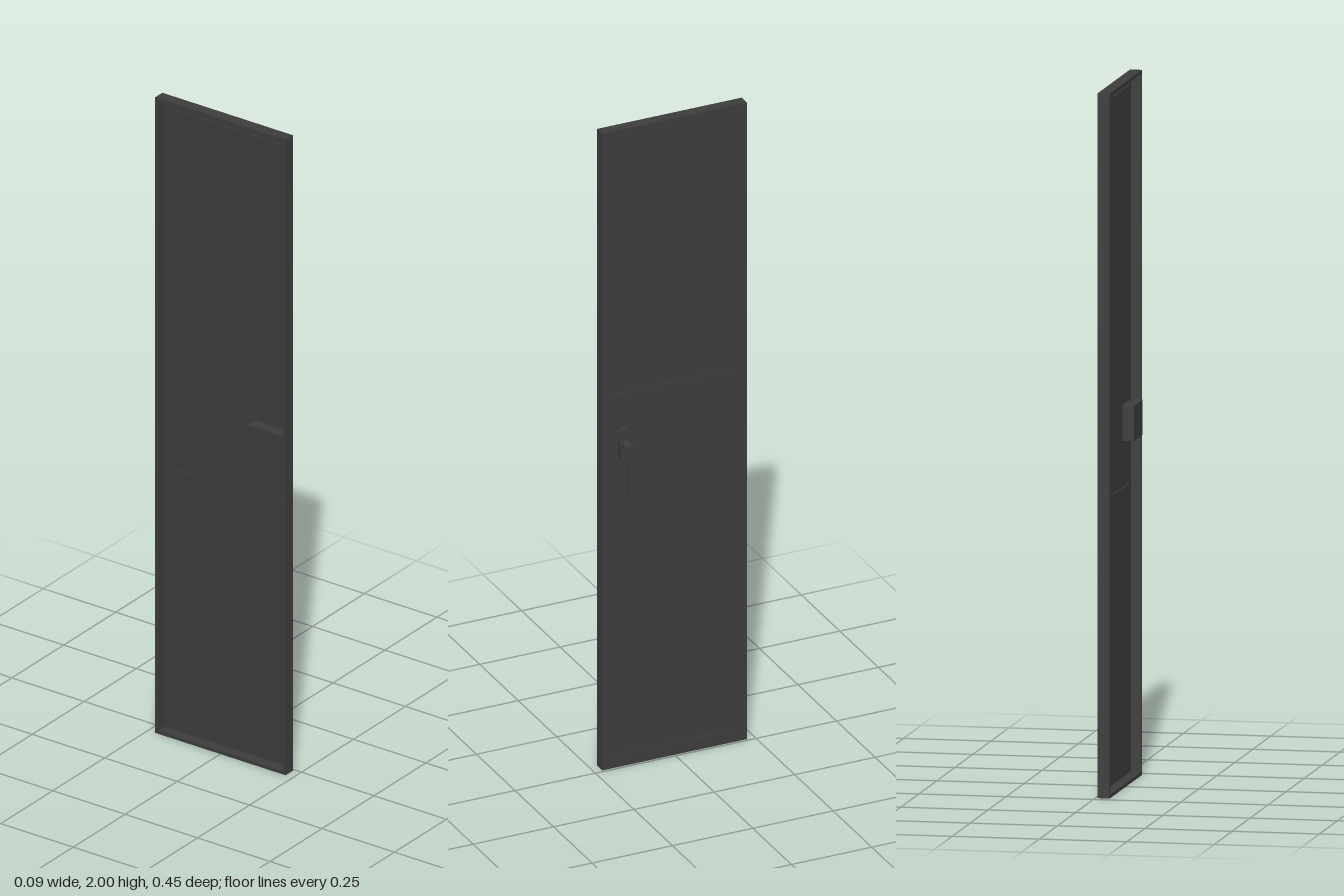
import * as THREE from 'three';
import { toCreasedNormals } from 'three/addons/utils/BufferGeometryUtils.js';

const material = new THREE.MeshStandardMaterial({ color: 0x3c3c3c });

function add(parent, name, geometry, x = 0, y = 0, z = 0) {
  const mesh = new THREE.Mesh(geometry, material);
  mesh.name = name;
  mesh.position.set(x, y, z);
  parent.add(mesh);
  return mesh;
}

// Box given by its limits on each axis
function slab(parent, name, [x0, x1], [y0, y1], [z0, z1]) {
  return add(parent, name, new THREE.BoxGeometry(x1 - x0, y1 - y0, z1 - z0),
    (x0 + x1) / 2, (y0 + y1) / 2, (z0 + z1) / 2);
}

// Extrudes an upright outline along +x
function extrudeX(shape, depth, edit) {
  const g = new THREE.ExtrudeGeometry(shape, { depth, bevelEnabled: false, curveSegments: 12 });
  if (edit) {
    const p = g.attributes.position;
    for (let i = 0; i < p.count; i++) edit(p, i);
  }
  g.rotateY(Math.PI / 2);
  return toCreasedNormals(g, 0.6);
}

function rect(path, x0, x1, y0, y1) {
  path.moveTo(x0, y0);
  path.lineTo(x1, y0);
  path.lineTo(x1, y1);
  path.lineTo(x0, y1);
  path.closePath();
  return path;
}

export function createModel() {
  const door = new THREE.Group();
  door.name = 'door';

  const back = -0.0415, front = -0.007, half = 0.225, skin = 0.004, rim = 0.01;
  const panelHalf = 0.186;
  const panels = [['lowerPanel', 0.038, 0.832], ['upperPanel', 1.172, 1.962]];

  // Front sheet with two openings, and the recessed panels behind them
  const sheet = rect(new THREE.Shape(), -half, half, 0, 2);
  for (const [name, y0, y1] of panels) {
    sheet.holes.push(rect(new THREE.Path(), -panelHalf, panelHalf, y0, y1));
    slab(door, name, [front - 2 * skin, front - skin],
      [y0 - 0.002, y1 + 0.002], [-panelHalf - 0.002, panelHalf + 0.002]);
  }
  add(door, 'frontSheet', extrudeX(sheet, skin), front - skin);

  // Folded edges around the hollow back
  const edgeX = [back, front - skin];
  for (const s of [-1, 1]) {
    const z = [s * half, s * (half - rim)].sort((a, b) => a - b);
    slab(door, s > 0 ? 'latchEdge' : 'hingeEdge', edgeX, [0, 2], z);
  }
  slab(door, 'bottomEdge', edgeX, [0, rim], [rim - half, half - rim]);
  slab(door, 'topEdge', edgeX, [2 - rim, 2], [rim - half, half - rim]);

  // Lock case in the hollow back
  slab(door, 'lockCase', [-0.0445, front - skin], [0.966, 1.066], [0.097, 0.213]);

  // Handle
  const handle = new THREE.Group();
  handle.name = 'handle';
  handle.position.set(front, 1.015, 0.158);
  door.add(handle);

  const r = 0.0175, straight = 0.033;
  const plate = new THREE.Shape();
  plate.absarc(0, straight, r, 0, Math.PI);
  plate.absarc(0, -straight, r, Math.PI, 2 * Math.PI);
  plate.closePath();
  add(handle, 'handlePlate', extrudeX(plate, 0.013));

  const shaft = new THREE.CylinderGeometry(0.0133, 0.0133, 0.034, 24);
  shaft.rotateZ(Math.PI / 2);
  add(handle, 'handleShaft', shaft, 0.026);

  // Lever narrows downwards in width, and its inner face slopes outwards
  const lever = new THREE.Shape();
  lever.absarc(0, 0, 0.0137, 0, Math.PI);
  lever.lineTo(-0.008, -0.138);
  lever.lineTo(0.008, -0.138);
  lever.closePath();
  const taper = (p, i) => {
    if (p.getZ(i) < 0.001) p.setZ(i, Math.max(0, -p.getY(i)) * 0.055);
  };
  add(handle, 'handleLever', extrudeX(lever, 0.0135, taper), 0.036);

  return door;
}
